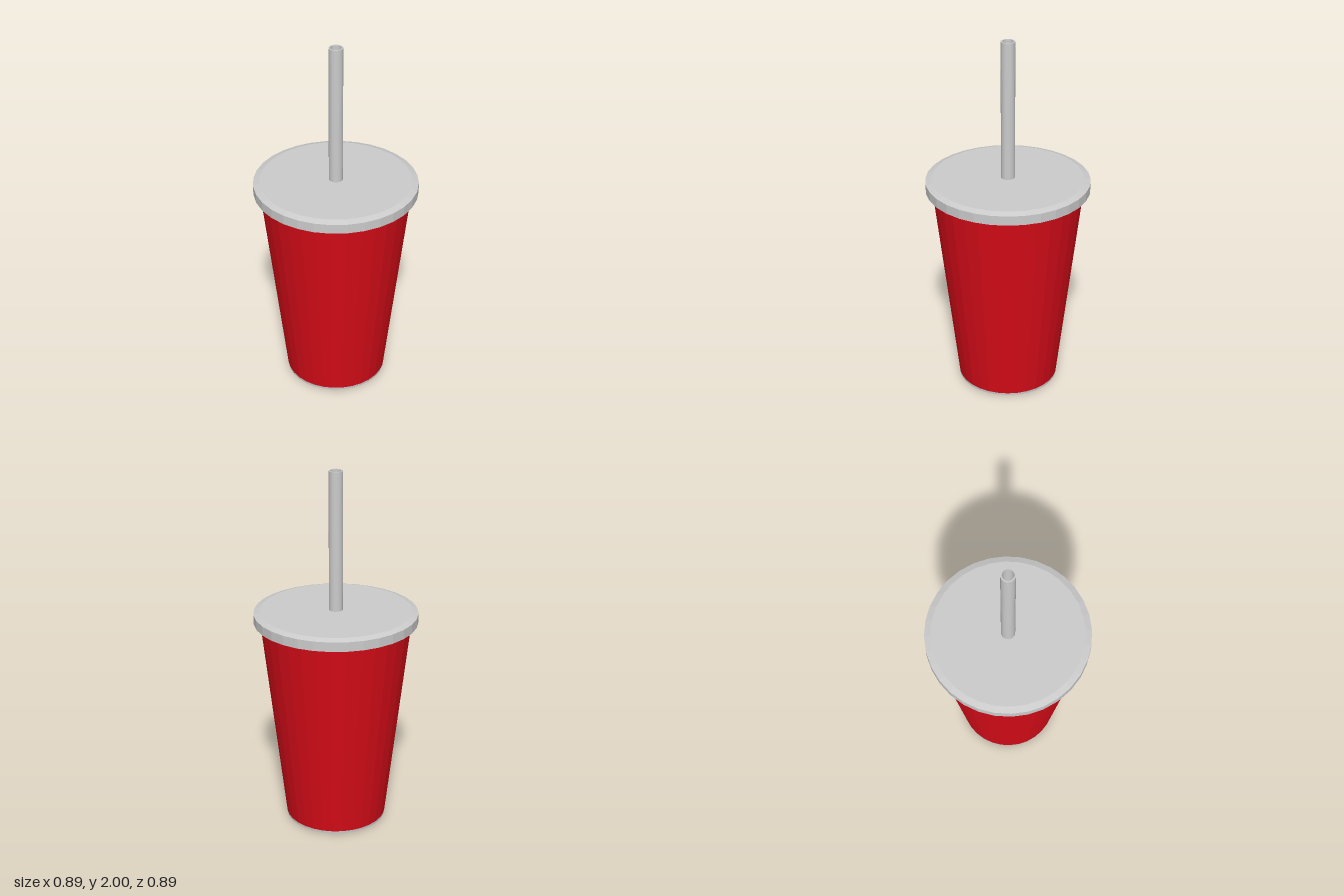
import * as THREE from 'three';

const SIDES = 32;

// Faceted solid of revolution; profile points are [radius, height], outside going up.
function turned(name, profile, color = 0xcccccc) {
  const points = profile.map(([r, y]) => new THREE.Vector2(r, y));
  const material = new THREE.MeshStandardMaterial({ color, flatShading: true, side: THREE.DoubleSide });
  const mesh = new THREE.Mesh(new THREE.LatheGeometry(points, SIDES), material);
  mesh.name = name;
  return mesh;
}

export function createModel() {
  const group = new THREE.Group();
  group.name = 'drinkCup';

  // Grey base with a shallow recess inside its foot ring
  group.add(turned('base', [[0, 0.015], [0.257, 0.015], [0.26, 0], [0.28, 0], [0.281, 0.013]]));

  // Tapered red wall
  group.add(turned('cupWall', [[0.281, 0.013], [0.411, 1.17]], 0xd80c18));

  // Overhanging lid with a bevelled top edge
  group.add(turned('lid', [[0.41, 1.17], [0.447, 1.17], [0.447, 1.222], [0.412, 1.233], [0, 1.233]]));

  // Hollow straw rising from the lid
  group.add(turned('straw', [[0.038, 1.233], [0.038, 2], [0.03, 2], [0.03, 1.233]]));

  return group;
}
